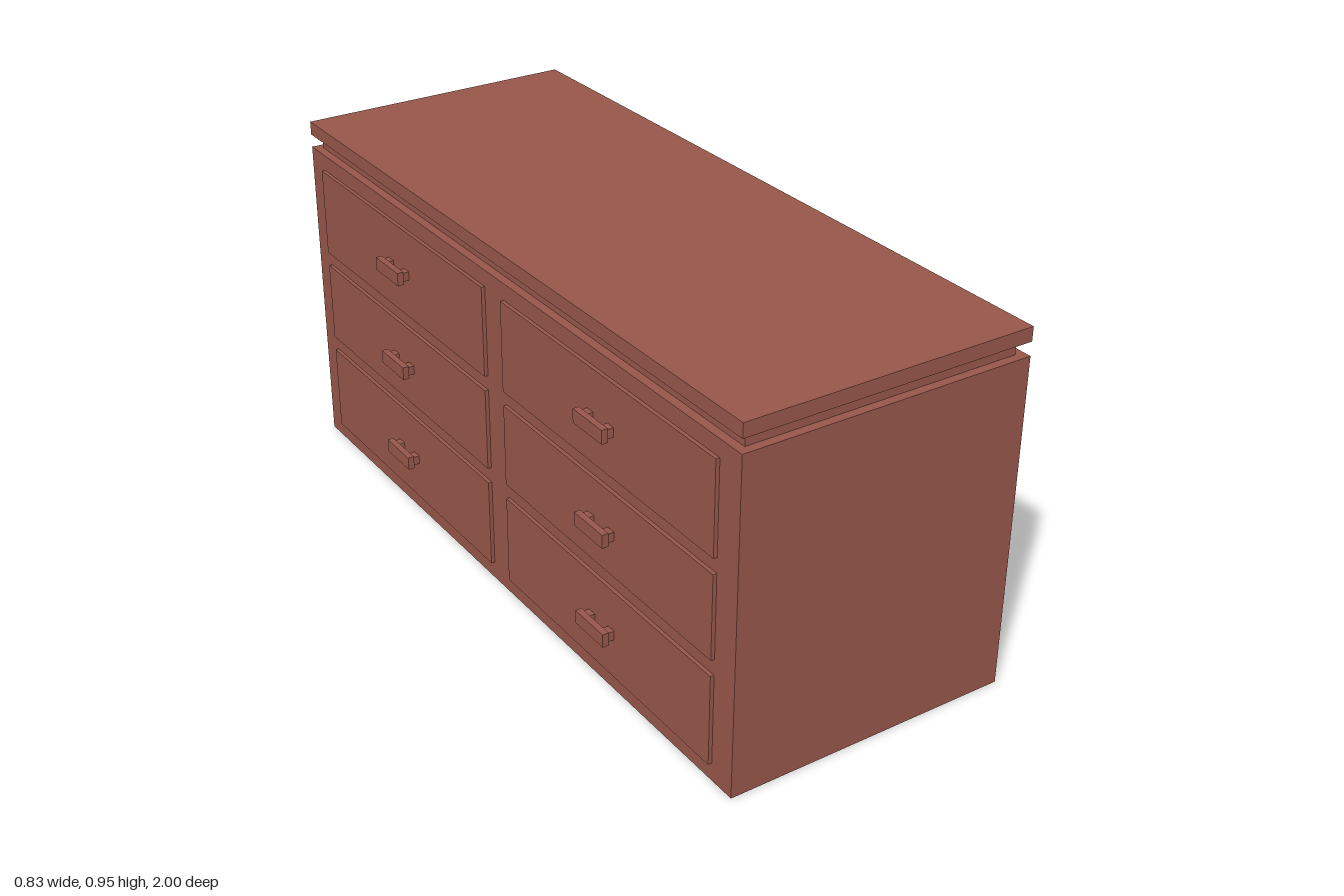
import * as THREE from 'three';

export function createModel() {
  const group = new THREE.Group();
  group.name = 'dresser';
  const wood = new THREE.MeshStandardMaterial({ color: 0x96564a });
  wood.name = 'reddish brown wood';

  // Box given by its minimum and maximum on each axis
  function box(name, [x0, x1], [y0, y1], [z0, z1], parent = group) {
    const mesh = new THREE.Mesh(new THREE.BoxGeometry(x1 - x0, y1 - y0, z1 - z0), wood);
    mesh.position.set((x0 + x1) / 2, (y0 + y1) / 2, (z0 + z1) / 2);
    mesh.name = name;
    parent.add(mesh);
  }

  // Cabinet, recessed neck and top slab
  box('cabinet', [-0.369, 0.413], [0, 0.882], [-1, 1]);
  box('neck', [-0.346, 0.389], [0.882, 0.918], [-0.977, 0.977]);
  box('topSlab', [-0.369, 0.413], [0.918, 0.955], [-1, 1]);

  // Two columns of three drawers on the -x side, each with a bar handle
  const rows = [[0.048, 0.29], [0.332, 0.555], [0.595, 0.838]];
  for (const zc of [-0.485, 0.485]) {
    for (const [y0, y1] of rows) {
      const drawer = new THREE.Group();
      drawer.name = 'drawer';
      group.add(drawer);
      const yc = (y0 + y1) / 2;
      box('drawerFront', [-0.379, -0.369], [y0, y1], [zc - 0.44, zc + 0.44], drawer);
      box('handleBar', [-0.414, -0.397], [yc - 0.018, yc + 0.018], [zc - 0.06, zc + 0.06], drawer);
      for (const dz of [-0.042, 0.042]) {
        box('handlePost', [-0.397, -0.379], [yc - 0.012, yc + 0.012],
          [zc + dz - 0.013, zc + dz + 0.013], drawer);
      }
    }
  }
  return group;
}
